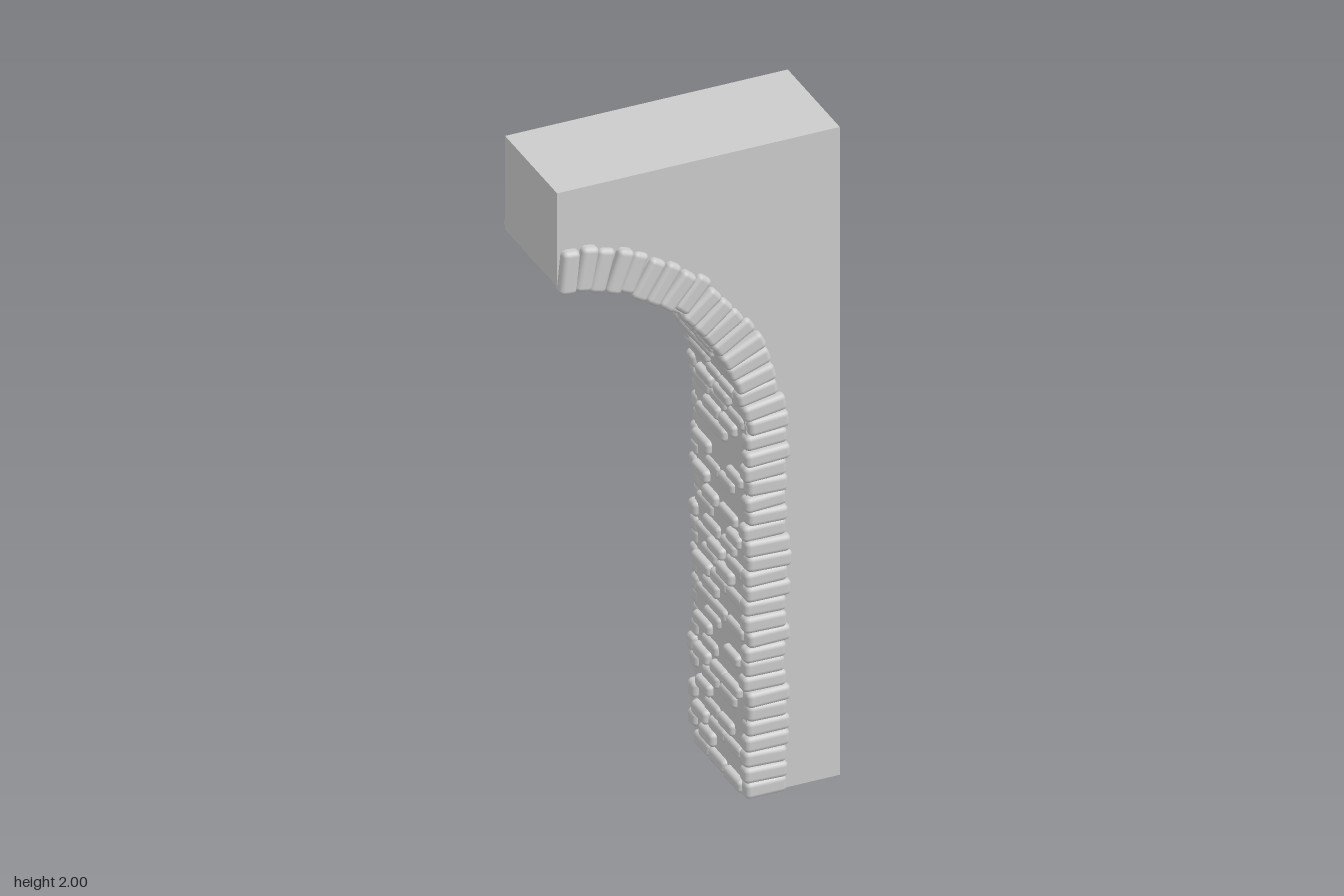
import * as THREE from 'three';
import { RoundedBoxGeometry } from 'three/addons/geometries/RoundedBoxGeometry.js';

const HALF_DEPTH = 0.165, LEFT = -0.405, RIGHT = 0.422, TOP = 2;
const ROWS = 43;

function seeded(seed) {
  return () => {
    seed = (seed * 1664525 + 1013904223) % 4294967296;
    return seed / 4294967296;
  };
}

// Inner edge of the half arch: a straight jamb running into an elliptical curve
function archEdge() {
  const path = new THREE.CurvePath();
  path.add(new THREE.LineCurve(new THREE.Vector2(0.15, 0), new THREE.Vector2(0.15, 1.08)));
  path.add(new THREE.EllipseCurve(-0.47, 1.08, 0.62, 0.635, 0, Math.acos((LEFT + 0.47) / 0.62)));
  return path;
}

export function createModel() {
  const model = new THREE.Group();
  const material = new THREE.MeshStandardMaterial({ color: 0xcccccc, roughness: 0.9 });
  const edge = archEdge();
  const random = seeded(17);
  const vary = (amount) => (random() - 0.5) * 2 * amount;

  // Wall: the arch profile extruded through its depth
  const outline = [
    new THREE.Vector2(RIGHT, 0), new THREE.Vector2(RIGHT, TOP), new THREE.Vector2(LEFT, TOP),
    ...edge.curves[1].getPoints(28).reverse(),
    new THREE.Vector2(0.15, 0),
  ];
  const wallGeometry = new THREE.ExtrudeGeometry(new THREE.Shape(outline), {
    depth: HALF_DEPTH * 2, bevelEnabled: false,
  });
  wallGeometry.translate(0, 0, -HALF_DEPTH);
  const wall = new THREE.Mesh(wallGeometry, material);
  wall.name = 'wall';
  model.add(wall);

  // One rounded brick; inset is measured from the arch edge into the wall
  function addBrick(group, t, inset, z, size, tilt) {
    const point = edge.getPoint(t), tangent = edge.getTangent(t);
    const [length, height, depth] = size;
    const radius = Math.min(length, height, depth) * 0.32;
    const brick = new THREE.Mesh(new RoundedBoxGeometry(length, height, depth, 2, radius), material);
    brick.name = 'brick';
    brick.position.set(point.x + tangent.y * inset, point.y - tangent.x * inset, z);
    brick.rotation.z = Math.atan2(-tangent.x, tangent.y) + tilt;
    group.add(brick);
  }

  // Brick trim around the opening on the front and back faces
  for (const side of [1, -1]) {
    const trim = new THREE.Group();
    trim.name = side > 0 ? 'frontBrickTrim' : 'backBrickTrim';
    for (let i = 0; i < ROWS; i++) {
      const t = (i + 0.5) / ROWS;
      const size = [0.125 + vary(0.008), 0.049 + vary(0.003), 0.045];
      const z = side * (HALF_DEPTH - 0.002 + vary(0.006));
      addBrick(trim, t, 0.054 + vary(0.008), z, size, i === 0 ? 0 : vary(0.05));
    }
    model.add(trim);
  }

  // Staggered, partly missing bricks lining the underside of the arch
  const lining = new THREE.Group();
  lining.name = 'archLining';
  for (let i = 0; i < ROWS; i++) {
    const t = (i + 0.5) / ROWS;
    const columns = i % 2 ? [-0.055, 0.055] : [-0.1, 0, 0.1];
    for (const z of columns) {
      if (random() < 0.25) continue;
      const size = [0.04, 0.04 + vary(0.004), 0.095 + vary(0.012)];
      addBrick(lining, t, 0.004 + vary(0.005), z + vary(0.012), size, vary(0.03));
    }
  }
  model.add(lining);

  return model;
}
